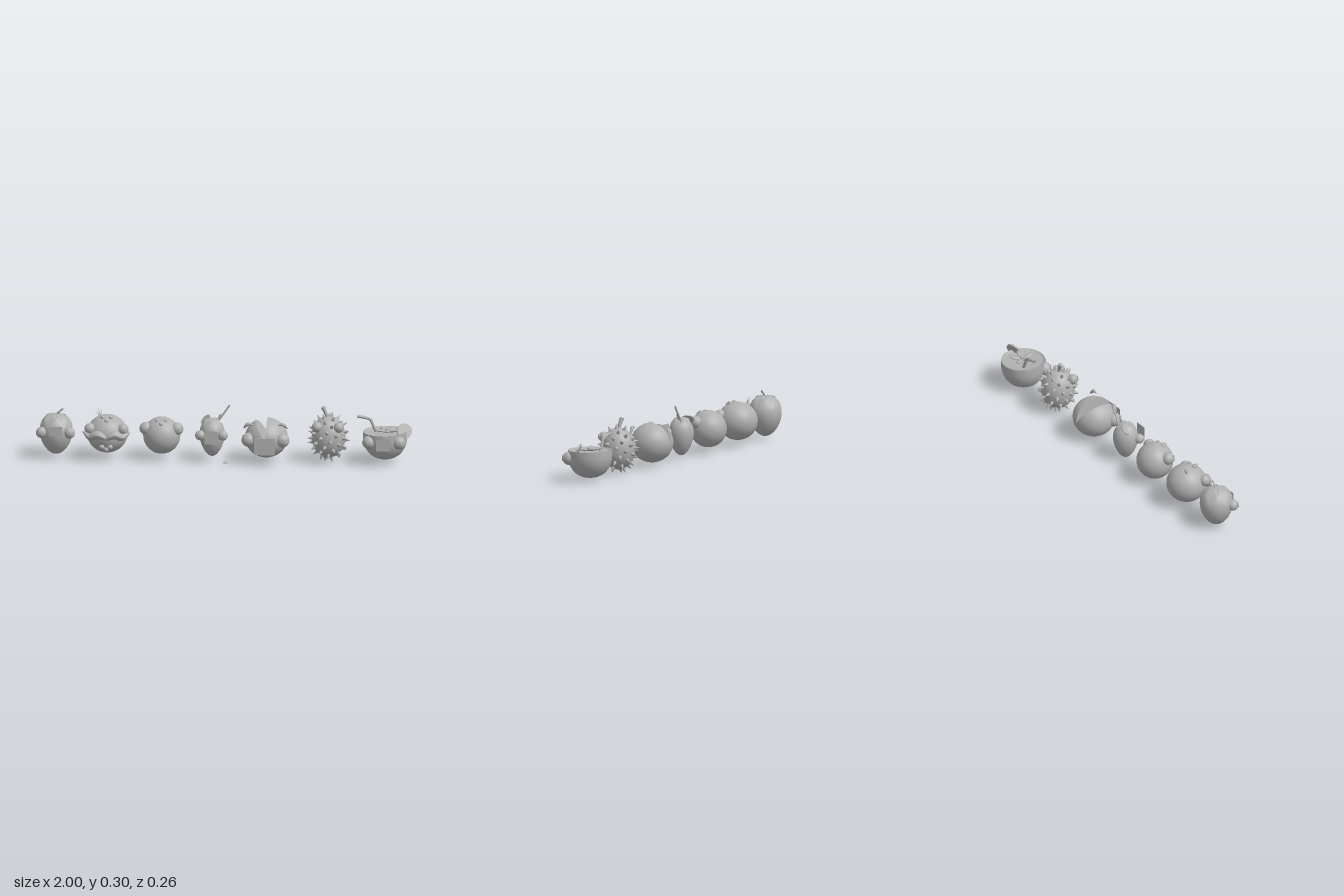
import * as THREE from 'three';

const gray = new THREE.MeshStandardMaterial({ color: 0xb0b0b0, side: THREE.DoubleSide });
gray.name = 'plain gray';
const V = (x, y, z) => new THREE.Vector3(x, y, z);
const UP = V(0, 1, 0);

function add(parent, name, geo, x = 0, y = 0, z = 0) {
  const m = new THREE.Mesh(geo, gray);
  m.name = name;
  m.position.set(x, y, z);
  parent.add(m);
  return m;
}
const ball = (g, name, r, x, y, z) => add(g, name, new THREE.SphereGeometry(r, 24, 16), x, y, z);
const plate = (g, name, w, h, x, y, z) => add(g, name, new THREE.BoxGeometry(w, h, 0.002), x, y, z);

// Round body, wider towards the top when k > 0
function body(g, r, y0, y1, k = 0) {
  const pts = [];
  for (let i = 0; i <= 20; i++) {
    const c = -Math.cos((i / 20) * Math.PI);
    pts.push(new THREE.Vector2(r * Math.sqrt(Math.max(0, 1 - c * c)) * (1 + k * c), (y0 + y1) / 2 + (c * (y1 - y0)) / 2));
  }
  return add(g, 'body', new THREE.LatheGeometry(pts, 32));
}

// Pair of bulging eyes with raised pupils
function eyes(g, r, x, y, z) {
  for (const s of [-1, 1]) {
    ball(g, s > 0 ? 'leftEye' : 'rightEye', r, s * x, y, z);
    const d = V(s * 0.6, 0.1, 0.8).normalize();
    const p = ball(g, 'pupil', r * 0.5, s * x + d.x * r * 0.95, y + d.y * r * 0.95, z + d.z * r * 0.95);
    p.scale.z = 0.25;
    p.quaternion.setFromUnitVectors(V(0, 0, 1), d);
  }
}

// Tube along a curve whose radius follows a rule
function tube(g, name, pts, rule, seg = 20) {
  const curve = new THREE.CatmullRomCurve3(pts.map((p) => V(...p)));
  const geo = new THREE.TubeGeometry(curve, seg, 1, 10);
  const pos = geo.attributes.position, v = V(0, 0, 0);
  for (let i = 0; i < pos.count; i++) {
    const t = Math.floor(i / 11) / seg, c = curve.getPointAt(t);
    v.fromBufferAttribute(pos, i).sub(c).multiplyScalar(rule(t)).add(c);
    pos.setXYZ(i, v.x, v.y, v.z);
  }
  geo.computeVertexNormals();
  return add(g, name, geo);
}

// Pointed leaves hugging the top of an egg
function leaves(g, n, r, cy, ry, reach, width) {
  for (let k = 0; k < n; k++) {
    const geo = new THREE.PlaneGeometry(1, 1, 4, 10), pos = geo.attributes.position;
    for (let i = 0; i < pos.count; i++) {
      const s = pos.getY(i) + 0.5, th = s * reach;
      const w = pos.getX(i) * width * Math.sin(Math.PI * Math.pow(s, 0.8));
      const lift = 1.04 + 0.06 * s;
      pos.setXYZ(i, w, cy + ry * lift * Math.cos(th), r * lift * Math.sin(th));
    }
    geo.computeVertexNormals();
    add(g, 'leaf', geo).rotation.y = ((k + 0.5) / n) * Math.PI * 2;
  }
}

// Three small round marks near the top front of a round body
function marks(g, r, cy) {
  for (const [x, z] of [[-0.022, 0.036], [0.022, 0.036], [0, 0.062]])
    ball(g, 'mark', 0.011, x, cy + Math.sqrt(r * r - x * x - z * z), z);
}

// Leafy egg with a bent stem
function leafyEgg(g) {
  body(g, 0.087, 0.012, 0.226, 0.17);
  leaves(g, 6, 0.088, 0.12, 0.106, 1.2, 0.066);
  tube(g, 'stem', [[0, 0.22, 0], [0.01, 0.235, 0], [0.036, 0.258, 0]], () => 0.005);
  eyes(g, 0.03, 0.074, 0.14, 0.055);
  plate(g, 'mouth', 0.07, 0.05, 0.003, 0.155, 0.088);
}

// Round one with a moustache
function moustached(g) {
  body(g, 0.108, 0.026, 0.23);
  marks(g, 0.104, 0.128);
  eyes(g, 0.03, 0.088, 0.165, 0.055);
  for (const s of [-1, 1]) {
    tube(g, 'moustache', [[0, 0.125, 0.105], [s * 0.045, 0.142, 0.098], [s * 0.085, 0.128, 0.084], [s * 0.124, 0.152, 0.068]],
      (t) => 0.004 + 0.019 * Math.sin(Math.PI * Math.min(1, t * 0.85 + 0.15)));
    ball(g, 'lip', 0.014, s * 0.022, 0.075, 0.093);
  }
  ball(g, 'chin', 0.014, 0, 0.06, 0.085);
  for (const [x, y] of [[-0.066, 0.243], [-0.05, 0.258], [-0.032, 0.245]])
    tube(g, 'hair', [[-0.04, 0.208, -0.03], [x, y, -0.042]], (t) => 0.003 * (1 - 0.8 * t), 4);
}

// Plain round one
function roundOne(g) {
  body(g, 0.099, 0.024, 0.222);
  marks(g, 0.097, 0.123);
  eyes(g, 0.034, 0.083, 0.165, 0.025);
}

// Slim one with straws
function slimOne(g) {
  body(g, 0.066, 0.014, 0.215, 0.22);
  leaves(g, 5, 0.066, 0.115, 0.1, 0.95, 0.05);
  eyes(g, 0.027, 0.06, 0.137, 0.045);
  plate(g, 'mouth', 0.07, 0.07, 0.002, 0.137, 0.1);
  tube(g, 'straw', [[0.025, 0.19, -0.02], [0.092, 0.288, -0.02]], () => 0.005, 4);
  tube(g, 'shortStraw', [[0.02, 0.19, 0], [0.045, 0.24, -0.005]], () => 0.005, 4);
  const slice = add(g, 'slice', new THREE.CylinderGeometry(0.032, 0.032, 0.006, 20), -0.035, 0.205, -0.02);
  slice.rotation.set(0.5, 0, 0.7);
  const chip = add(g, 'chip', new THREE.BoxGeometry(0.022, 0.002, 0.035), 0.077, 0.001, 0.085);
  chip.rotation.y = 0;
}

// Large round one with a wedge cut out of the top
function wedgeCut(g) {
  const rad = Math.PI / 180, b = new THREE.Group();
  b.name = 'cutBody';
  b.position.y = 0.12;
  b.scale.y = 0.93;
  g.add(b);
  add(b, 'rind', new THREE.SphereGeometry(0.114, 36, 20, 300 * rad, 327 * rad).rotateX(Math.PI / 2));
  for (const a of [-3, 30])
    add(b, 'cutFace', new THREE.CircleGeometry(0.114, 24, -Math.PI / 2, Math.PI).rotateX(Math.PI / 2).rotateZ((90 + a) * rad));
  eyes(g, 0.038, 0.09, 0.122, 0.065);
  plate(g, 'mouth', 0.112, 0.09, 0, 0.1, 0.129);
  for (const s of [-1, 1])
    tube(g, 'eyebrow', [[s * 0.068, 0.204, 0.065], [s * 0.092, 0.208, 0.065], [s * 0.118, 0.183, 0.058]],
      (t) => 0.002 + 0.007 * Math.sin(Math.PI * t), 12);
}

// Spiky one
function spiky(g) {
  const r = 0.09, ry = 0.112, cy = 0.13, n = 60;
  body(g, r, cy - ry, cy + ry);
  for (let i = 0; i < n; i++) {
    const y = 1 - (2 * (i + 0.5)) / n, a = i * 2.39996, q = Math.sqrt(1 - y * y);
    const p = V(q * Math.cos(a) * r, y * ry, q * Math.sin(a) * r);
    const d = V(p.x / (r * r), p.y / (ry * ry), p.z / (r * r)).normalize();
    const s = add(g, 'spike', new THREE.ConeGeometry(0.013, 0.034, 10));
    s.position.copy(p).addScaledVector(d, 0.01).add(V(0, cy, 0));
    s.quaternion.setFromUnitVectors(UP, d);
  }
  eyes(g, 0.028, 0.058, 0.195, 0.055);
  tube(g, 'stem', [[-0.008, 0.232, 0], [-0.015, 0.26, 0], [-0.028, 0.288, -0.003]], (t) => 0.007 + 0.005 * t, 8);
  add(g, 'stemEnd', new THREE.SphereGeometry(0.0115, 12, 8), -0.028, 0.285, -0.003);
}

// Half bowl with a drink, straw, flower and round slice
function bowl(g) {
  const pts = [[0, 0.014], [0.04, 0.018], [0.08, 0.04], [0.105, 0.075], [0.117, 0.115], [0.118, 0.162], [0.108, 0.162], [0.105, 0.15], [0, 0.15]];
  const b = new THREE.Group();
  b.name = 'bowl';
  b.position.z = -0.012;
  g.add(b);
  add(b, 'shell', new THREE.LatheGeometry(new THREE.SplineCurve(pts.slice(0, 6).map((p) => new THREE.Vector2(...p))).getPoints(20), 36));
  add(b, 'drink', new THREE.LatheGeometry(pts.slice(5).map((p) => new THREE.Vector2(...p)), 36));
  eyes(g, 0.036, 0.08, 0.12, 0.068);
  plate(g, 'mouth', 0.075, 0.06, -0.002, 0.112, 0.108);
  tube(g, 'straw', [[-0.045, 0.14, -0.045], [-0.07, 0.195, -0.045], [-0.08, 0.217, -0.045], [-0.105, 0.226, -0.045], [-0.152, 0.234, -0.045]], () => 0.008, 28);
  for (let i = 0; i < 5; i++) {
    const a = (i / 5) * Math.PI * 2 + 0.3;
    const p = ball(g, 'petal', 0.034, 0.012 + 0.036 * Math.cos(a), 0.168, -0.012 + 0.036 * Math.sin(a));
    p.scale.set(1, 0.2, 0.45);
    p.rotation.set(0, -a, 0.2);
  }
  ball(g, 'flowerCentre', 0.01, 0.012, 0.17, -0.012);
  const slice = add(g, 'slice', new THREE.CylinderGeometry(0.041, 0.041, 0.01, 28), 0.104, 0.168, 0);
  slice.rotation.set(Math.PI / 2 - 0.45, 0, -0.35);
}

export function createModel() {
  const model = new THREE.Group();
  model.name = 'fruitRow';
  const row = [
    ['leafyEgg', leafyEgg, -0.895], ['moustachedFruit', moustached, -0.623], ['roundFruit', roundOne, -0.333],
    ['slimFruit', slimOne, -0.065], ['wedgeCutFruit', wedgeCut, 0.224], ['spikyFruit', spiky, 0.555], ['bowlFruit', bowl, 0.855],
  ];
  for (const [name, build, x] of row) {
    const g = new THREE.Group();
    g.name = name;
    g.position.x = x;
    build(g);
    model.add(g);
  }
  return model;
}
